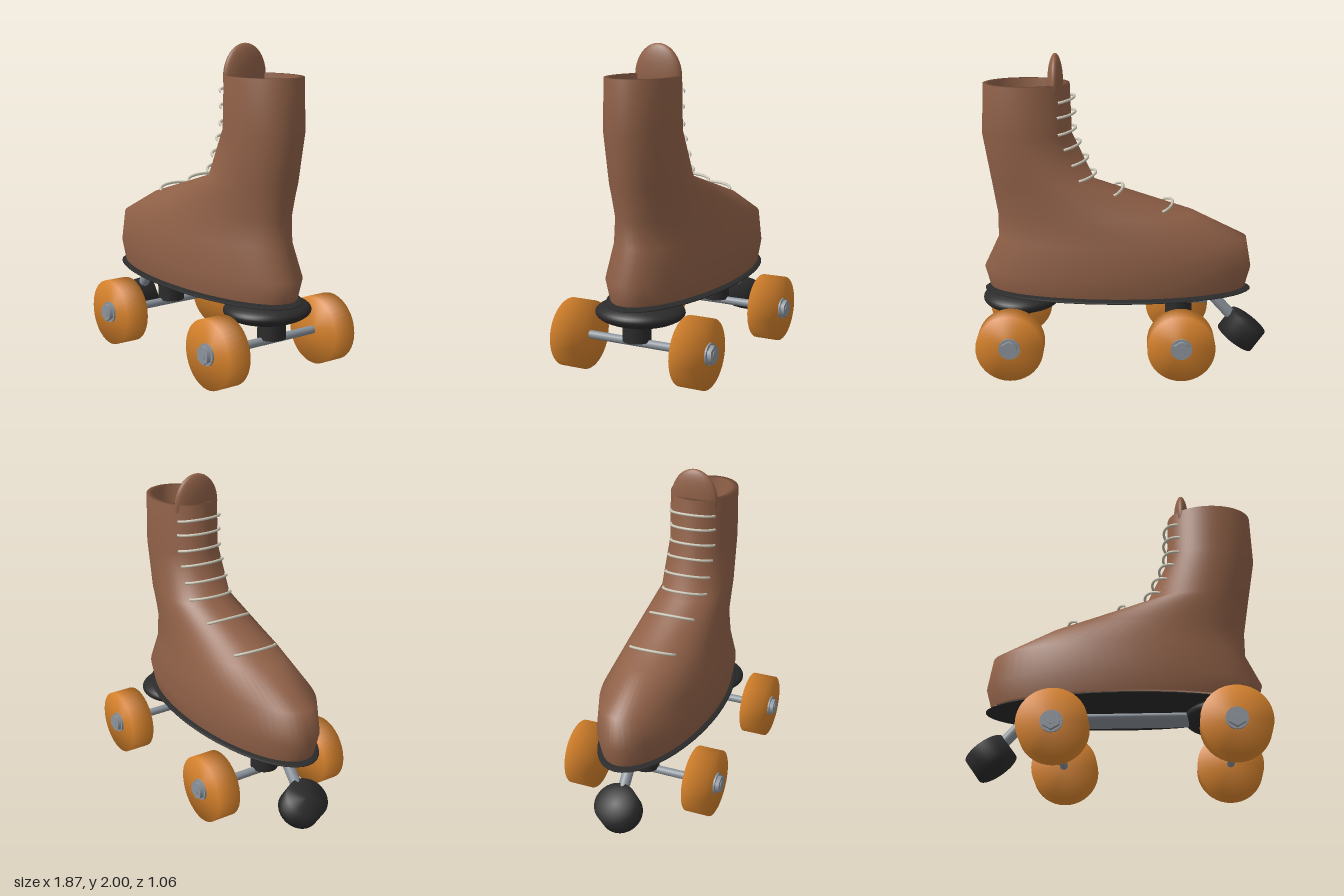
import * as THREE from 'three';
import { mergeVertices } from 'three/addons/utils/BufferGeometryUtils.js';

const mat = (name, color) => {
  const m = new THREE.MeshStandardMaterial({ color });
  m.name = name;
  return m;
};

export function createModel() {
  const leather = mat('brownLeather', 0x8f6047);
  const rubber = mat('blackRubber', 0x2b2b2c);
  const urethane = mat('orangeWheel', 0xd6822c);
  const metal = mat('greyMetal', 0x8b939b);
  const cord = mat('laceCord', 0xccc8b8);

  const root = new THREE.Group();
  root.name = 'rollerSkate';
  const add = (name, geo, material, x = 0, y = 0, z = 0, parent = root) => {
    const mesh = new THREE.Mesh(geo, material);
    mesh.name = name;
    mesh.position.set(x, y, z);
    parent.add(mesh);
    return mesh;
  };
  const ellipsoid = (rx, ry, rz) => new THREE.SphereGeometry(1, 48, 24).scale(rx, ry, rz);
  // solid drum with normals blended over its edges
  const drum = (r, h) => new THREE.LatheGeometry(
    [[0, -h / 2], [r, -h / 2], [r, h / 2], [0, h / 2]].map(p => new THREE.Vector2(...p)), 40);
  // cylinder running between two points
  const rod = (name, a, b, r, material) => {
    const d = b.clone().sub(a);
    const mesh = add(name, new THREE.CylinderGeometry(r, r, d.length(), 24), material);
    mesh.position.copy(a).addScaledVector(d, 0.5);
    mesh.quaternion.setFromUnitVectors(new THREE.Vector3(0, 1, 0), d.normalize());
    return mesh;
  };

  // Boot: elliptical rings [y, toe x, heel x, half width], up outside and down inside
  const outer = [
    [0.48, -0.79, 0.88, 0.312],
    [0.61, -0.825, 0.915, 0.335],
    [0.81, -0.79, 0.82, 0.315],
    [0.975, -0.455, 0.82, 0.265],
    [1.18, 0.187, 0.853, 0.226],
    [1.49, 0.335, 0.905, 0.216],
    [1.815, 0.345, 0.893, 0.214],
  ];
  const t = 0.04;
  const inner = outer.map(([y, a, b, w]) => [y, a + t, b - t, w - t]).reverse();
  const rings = [...outer, ...inner];
  const segments = 64;
  let boot = new THREE.LatheGeometry(rings.map(r => new THREE.Vector2(1, r[0])), segments);
  const pos = boot.attributes.position;
  for (let i = 0; i < pos.count; i++) {
    const [, a, b, w] = rings[i % rings.length];
    pos.setX(i, (a + b) / 2 + pos.getX(i) * (b - a) / 2);
    pos.setZ(i, pos.getZ(i) * w);
  }
  boot.deleteAttribute('uv');
  boot.deleteAttribute('normal');
  boot = mergeVertices(boot, 1e-5);
  boot.computeVertexNormals();
  add('boot', boot, leather);
  add('insole', new THREE.CircleGeometry(1, 48).rotateX(-Math.PI / 2).scale(0.82, 1, 0.3),
    rubber, 0.045, 0.495, 0);
  add('tongue', ellipsoid(0.05, 0.2, 0.16), leather, 0.436, 1.8, 0);

  // Laces: [front x, front y, side x, side y]
  [
    [-0.31, 1.043, -0.24, 1.012],
    [0.01, 1.147, 0.068, 1.118],
    [0.185, 1.238, 0.288, 1.21],
    [0.235, 1.338, 0.333, 1.31],
    [0.282, 1.438, 0.38, 1.412],
    [0.31, 1.53, 0.415, 1.507],
    [0.313, 1.632, 0.42, 1.615],
    [0.318, 1.728, 0.412, 1.71],
  ].forEach(([x0, y0, x1, y1]) => {
    const pts = [];
    for (let i = 0; i <= 12; i++) {
      const a = (i / 12 - 0.5) * Math.PI, c = Math.cos(a);
      pts.push(new THREE.Vector3(x1 + (x0 - x1) * c, y1 + (y0 - y1) * c, 0.152 * Math.sin(a)));
    }
    add('lace', new THREE.TubeGeometry(new THREE.CatmullRomCurve3(pts), 32, 0.009, 8), cord);
  });

  // Sole, heel pad and chassis
  add('sole', ellipsoid(0.872, 0.027, 0.337), rubber, 0.046, 0.458, 0);
  add('heelPad', ellipsoid(0.255, 0.08, 0.28), rubber, 0.674, 0.4, 0);
  add('chassis', new THREE.CylinderGeometry(1, 1, 1.02, 32).rotateZ(Math.PI / 2).scale(1, 0.033, 0.1),
    metal, -0.03, 0.395, 0);

  // Toe stop
  const V = (x, y) => new THREE.Vector3(x, y, 0);
  rod('toeStopStem', V(-0.55, 0.435), V(-0.73, 0.235), 0.036, metal);
  add('toeStop', drum(0.137, 0.155), rubber, -0.778, 0.161, 0).rotation.z = Math.atan2(0.58, 0.82);

  // Trucks with axles, wheels and nuts
  for (const x of [-0.357, 0.718]) {
    const truck = new THREE.Group();
    truck.name = x < 0 ? 'frontTruck' : 'rearTruck';
    truck.position.set(x, 0.215, 0);
    root.add(truck);
    add('truckPost', new THREE.CylinderGeometry(0.088, 0.088, 0.2, 32), rubber, 0, 0.115, 0, truck);
    add('axle', new THREE.CylinderGeometry(0.026, 0.026, 1.056, 20).rotateX(Math.PI / 2),
      metal, 0, 0.003, 0, truck);
    for (const s of [-1, 1]) {
      add('wheel', drum(0.213, 0.156).rotateX(Math.PI / 2), urethane, 0, 0, s * 0.411, truck);
      add('washer', new THREE.CylinderGeometry(0.068, 0.068, 0.012, 24).rotateX(Math.PI / 2),
        metal, 0, 0.003, s * 0.494, truck);
      add('nut', new THREE.CylinderGeometry(0.058, 0.058, 0.026, 6).rotateX(Math.PI / 2),
        metal, 0, 0.003, s * 0.512, truck);
    }
  }
  return root;
}
